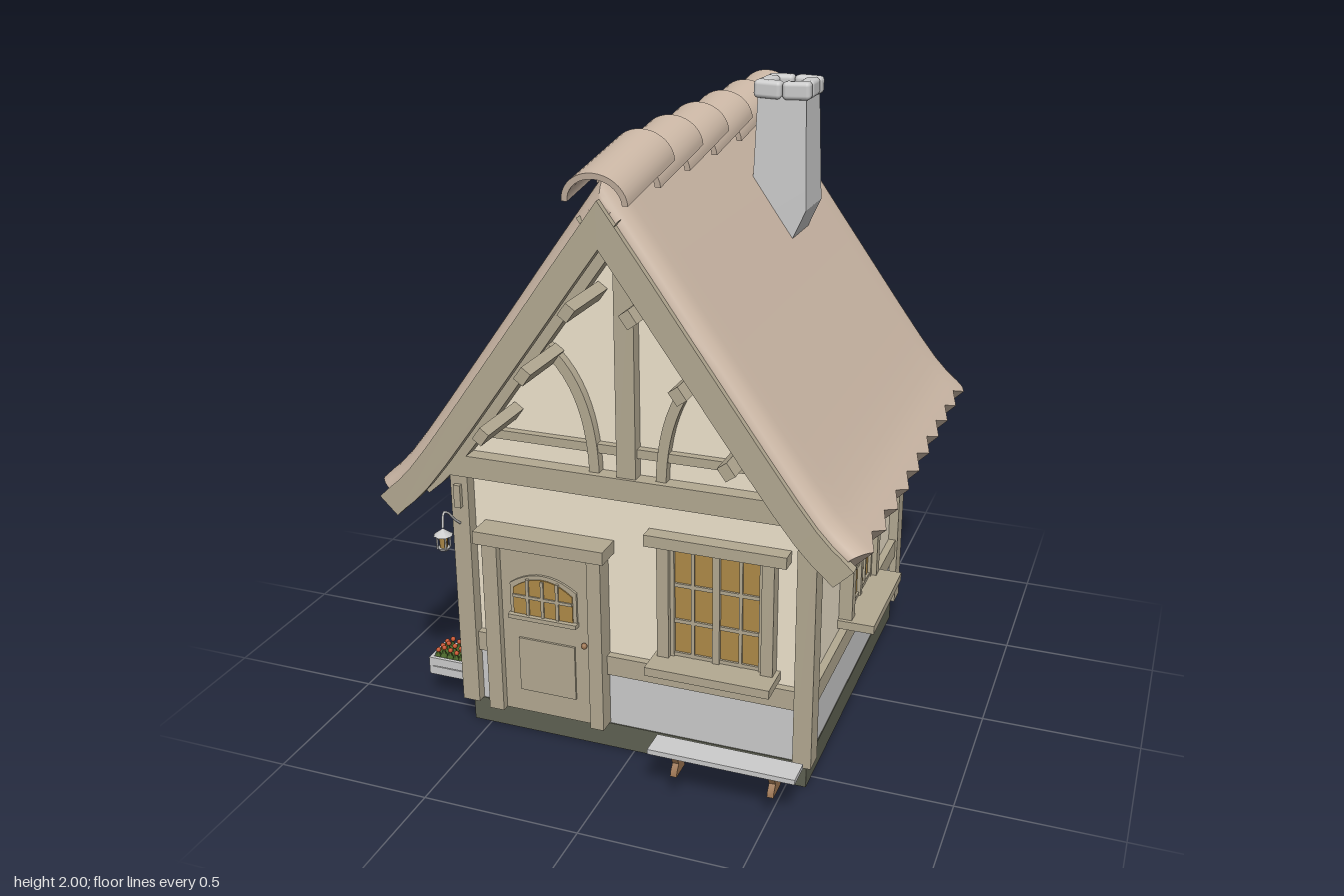
import * as THREE from 'three';
import { toCreasedNormals } from 'three/addons/utils/BufferGeometryUtils.js';
import { RoundedBoxGeometry } from 'three/addons/geometries/RoundedBoxGeometry.js';

const mat = (color, side = THREE.FrontSide) => new THREE.MeshStandardMaterial({ color, side });
const STONE = mat(0xcccccc), TIMBER = mat(0xb3a992), PLASTER = mat(0xefe4cd), ROOF = mat(0xcbb7a5);
const BASE = mat(0x5f6152), GLASS = mat(0xae8a48), WOOD = mat(0x9a7350), LEAF = mat(0x4d6b2c), BLOOM = mat(0xc4512a);
const V2 = (x, y) => new THREE.Vector2(x, y);

function add(parent, name, geo, material, x = 0, y = 0, z = 0) {
  const m = new THREE.Mesh(geo, material);
  m.name = name;
  m.position.set(x, y, z);
  parent.add(m);
  return m;
}
// box given by its limits
function box(parent, name, material, x0, x1, y0, y1, z0, z1) {
  return add(parent, name, new THREE.BoxGeometry(x1 - x0, y1 - y0, z1 - z0), material,
    (x0 + x1) / 2, (y0 + y1) / 2, (z0 + z1) / 2);
}
// outline extruded from z0 to z1
function slab(parent, name, material, pts, z0, z1) {
  const geo = new THREE.ExtrudeGeometry(new THREE.Shape(pts), { depth: z1 - z0, bevelEnabled: false });
  return add(parent, name, toCreasedNormals(geo, 0.6), material, 0, 0, z0);
}

// Flared roof line, apex to eave
const roofCurve = new THREE.SplineCurve([V2(0, 1.88), V2(0.17, 1.645), V2(0.345, 1.4), V2(0.625, 1.015), V2(0.735, 0.903)]);
const N = 14;
// whole roof line, left eave to right eave, sunk by t and lengthened by ext
function roofLine(t, ext = 0) {
  const half = [];
  for (let i = 0; i <= N; i++) {
    const p = roofCurve.getPoint(i / N), d = roofCurve.getTangent(i / N);
    if (i === 0) p.y -= t * 1.7;
    else p.sub(V2(-d.y, d.x).multiplyScalar(t));
    if (i === N) p.addScaledVector(d, ext);
    half.push(p);
  }
  return [...half.slice(1).reverse().map(p => V2(-p.x, p.y)), ...half];
}
const roofBand = (t0, t1, ext) => [...roofLine(t0, ext), ...roofLine(t1, ext).reverse()];

// Roof slab with rounded gable edges and zigzag eaves
function roofGeometry() {
  const END = 0.74, TEETH = 10, R = 0.07, zs = [];
  for (let i = 0; i <= TEETH * 2; i++) zs.push(-END + i * END / TEETH);
  for (const d of [0.003, 0.01, 0.02, 0.035, 0.05]) zs.push(-END + d, END - d);
  zs.sort((a, b) => a - b);
  const pos = [], idx = [], M = 2 * (2 * N + 1);
  for (const z of zs) {
    const u = ((z + END) / (2 * END)) * TEETH, f = u - Math.floor(u + 1e-6);
    const tooth = 0.036 * (1 - Math.abs(2 * f - 1));
    const k = Math.max(0, 1 - (END - Math.abs(z)) / R);
    const drop = 0.045 * (1 - Math.sqrt(Math.max(0, 1 - k * k)));
    for (const p of [...roofLine(drop, tooth), ...roofLine(0.085, tooth).reverse()]) pos.push(p.x, p.y, z);
  }
  for (let k = 0; k < zs.length - 1; k++) for (let j = 0; j < M; j++) {
    const a = k * M + j, b = k * M + (j + 1) % M, c = a + M, d = b + M;
    idx.push(a, c, b, b, c, d);
  }
  const last = (zs.length - 1) * M;
  for (let i = 0; i < M / 2 - 1; i++) {
    const o = i, p = i + 1, q = M - 1 - i, r = M - 2 - i;
    idx.push(last + o, last + q, last + r, last + o, last + r, last + p, o, r, q, o, p, r);
  }
  const g = new THREE.BufferGeometry();
  g.setAttribute('position', new THREE.Float32BufferAttribute(pos, 3));
  g.setIndex(idx);
  return toCreasedNormals(g, 0.7);
}

// Window facing +z, wall plane at z = 0
function makeWindow() {
  const w = new THREE.Group();
  w.name = 'window';
  box(w, 'glass', GLASS, -0.15, 0.15, 0.38, 0.75, 0, 0.015);
  box(w, 'lintel', TIMBER, -0.22, 0.22, 0.745, 0.782, 0, 0.05);
  box(w, 'sill', TIMBER, -0.195, 0.195, 0.352, 0.38, 0, 0.118);
  for (const s of [-1, 1]) {
    const jamb = [s * 0.145, s * 0.182].sort((a, b) => a - b);
    box(w, 'jamb', TIMBER, jamb[0], jamb[1], 0.38, 0.745, 0, 0.043);
    box(w, 'glazingBar', TIMBER, s * 0.075 - 0.005, s * 0.075 + 0.005, 0.38, 0.745, 0, 0.022);
    box(w, 'casementEdge', TIMBER, s * 0.139 - 0.006, s * 0.139 + 0.006, 0.38, 0.745, 0, 0.026);
  }
  box(w, 'mullion', TIMBER, -0.011, 0.011, 0.38, 0.745, 0, 0.028);
  for (const y of [0.387, 0.5, 0.62, 0.738]) box(w, 'glazingBar', TIMBER, -0.145, 0.145, y - 0.006, y + 0.006, 0, 0.022);
  return w;
}

// Timbered gable facing +z
function makeGable() {
  const g = new THREE.Group();
  g.name = 'gable';
  box(g, 'tieBeam', TIMBER, -0.59, 0.59, 0.88, 0.95, 0.53, 0.6);
  box(g, 'collarBeam', TIMBER, -0.48, 0.48, 1.012, 1.04, 0.54, 0.575);
  box(g, 'kingPost', TIMBER, -0.03, 0.03, 0.95, 1.68, 0.54, 0.59);
  const arc = new THREE.QuadraticBezierCurve(V2(0.105, 0.95), V2(0.112, 1.21), V2(0.25, 1.32)).getSpacedPoints(12);
  const c = new THREE.SplineCurve(arc);
  const side = (o) => arc.map((p, i) => { const d = c.getTangent(i / 12); return V2(p.x - d.y * o, p.y + d.x * o); });
  for (const s of [-1, 1]) {
    const pts = [...side(0.016), ...side(-0.016).reverse()].map(p => V2(p.x * s, p.y));
    slab(g, 'archBrace', TIMBER, pts, 0.54, 0.58);
  }
  slab(g, 'wallRafters', TIMBER, roofBand(0.08, 0.125, 0.01), 0.53, 0.6);
  slab(g, 'bargeboards', TIMBER, roofBand(0.04, 0.118, 0.03), 0.725, 0.758);
  return g;
}

function makeDoor() {
  const d = new THREE.Group();
  d.name = 'door';
  box(d, 'lintel', TIMBER, -0.49, -0.06, 0.68, 0.722, 0.54, 0.64);
  box(d, 'jamb', TIMBER, -0.475, -0.425, 0.09, 0.68, 0.54, 0.615);
  box(d, 'jamb', TIMBER, -0.125, -0.08, 0.09, 0.68, 0.54, 0.615);
  box(d, 'leaf', TIMBER, -0.425, -0.125, 0.09, 0.68, 0.54, 0.59);
  box(d, 'panel', TIMBER, -0.37, -0.18, 0.17, 0.355, 0.585, 0.597);
  // arched light
  const arch = (w, top, bottom) => [V2(-0.28 - w, bottom), V2(-0.28 + w, bottom),
    ...new THREE.QuadraticBezierCurve(V2(-0.28 + w, top - 0.04), V2(-0.28, top + 0.04), V2(-0.28 - w, top - 0.04)).getPoints(10)];
  slab(d, 'lightFrame', TIMBER, arch(0.112, 0.585, 0.435), 0.585, 0.598);
  slab(d, 'lightGlass', GLASS, arch(0.1, 0.572, 0.445), 0.59, 0.602);
  for (const x of [-0.33, -0.28, -0.23]) box(d, 'glazingBar', TIMBER, x - 0.005, x + 0.005, 0.445, 0.568, 0.595, 0.607);
  box(d, 'glazingBar', TIMBER, -0.38, -0.18, 0.502, 0.512, 0.595, 0.607);
  box(d, 'lightSill', TIMBER, -0.395, -0.165, 0.43, 0.444, 0.585, 0.615);
  add(d, 'knob', new THREE.SphereGeometry(0.01, 10, 8), WOOD, -0.145, 0.37, 0.6);
  return d;
}

function makeChimney() {
  const g = new THREE.Group();
  g.name = 'chimney';
  const shaft = slab(g, 'shaft', STONE, [V2(0.142, 1.95), V2(0.298, 1.95), V2(0.31, 1.6), V2(0.265, 1.5), V2(0.13, 1.6)], -0.345, -0.165);
  // narrows toward the top
  const p = shaft.geometry.attributes.position;
  for (let i = 0; i < p.count; i++) if (p.getY(i) > 1.9) p.setZ(i, 0.09 + (p.getZ(i) - 0.09) * 0.87);
  shaft.geometry = toCreasedNormals(shaft.geometry, 0.3);
  box(g, 'flue', ROOF, 0.175, 0.265, 1.94, 1.953, -0.3, -0.21);
  const stone = (x, z, w, d, tilt) => {
    const s = add(g, 'capStone', new RoundedBoxGeometry(w, 0.056, d, 3, 0.014), STONE, x, 1.969, z);
    s.rotation.set(0, tilt, tilt * 0.7);
  };
  for (const s of [-1, 1]) {
    for (const e of [-1, 1]) stone(0.22 + e * 0.046, -0.255 + s * 0.067, 0.09, 0.046, 0.04 * s * e);
    stone(0.22 + s * 0.066, -0.255, 0.048, 0.094, 0.03 * s);
  }
  return g;
}

function makeBench() {
  const g = new THREE.Group();
  g.name = 'bench';
  box(g, 'seat', STONE, 0.13, 0.585, 0.156, 0.172, 0.69, 0.775);
  for (const x of [0.21, 0.51]) {
    const leg = slab(g, 'leg', WOOD, [V2(-0.036, 0.09), V2(0.036, 0.09), V2(0.032, 0.105), V2(0.016, 0.125),
      V2(0.032, 0.156), V2(-0.032, 0.156), V2(-0.016, 0.125), V2(-0.032, 0.105)], -0.01, 0.01);
    leg.rotation.y = Math.PI / 2;
    leg.position.set(x - 0.01, 0, 0.732);
  }
  return g;
}

function makePlanter() {
  const g = new THREE.Group();
  g.name = 'planter';
  for (const z of [0.385, 0.487]) for (const y of [0.092, 0.124]) box(g, 'plank', STONE, -0.757, -0.585, y, y + 0.029, z, z + 0.012);
  for (const x of [-0.757, -0.597]) box(g, 'endBoard', STONE, x, x + 0.012, 0.092, 0.153, 0.385, 0.499);
  box(g, 'soil', WOOD, -0.748, -0.594, 0.095, 0.145, 0.395, 0.49);
  for (let i = 0; i < 7; i++) for (let j = 0; j < 3; j++) {
    const x = -0.738 + i * 0.0225, z = 0.412 + j * 0.03, h = 0.012 * ((i * 5 + j * 3) % 3) / 2;
    add(g, 'leaves', new THREE.ConeGeometry(0.015, 0.036, 5), LEAF, x, 0.158 + h / 2, z);
    add(g, 'flower', new THREE.IcosahedronGeometry(0.0085, 1), BLOOM, x + 0.005, 0.173 + h, z + 0.004);
  }
  return g;
}

function makeLantern() {
  const g = new THREE.Group();
  g.name = 'lantern';
  const x = -0.555, z = 0.7;
  box(g, 'bracket', TIMBER, x - 0.011, x + 0.011, 0.775, 0.85, 0.59, 0.605);
  const path = new THREE.CatmullRomCurve3([[0.72, 0.595], [0.745, 0.625], [0.785, 0.665], [0.795, 0.69], [0.75, 0.7]]
    .map(([y, pz]) => new THREE.Vector3(x, y, pz)));
  add(g, 'hook', new THREE.TubeGeometry(path, 20, 0.004, 6), STONE);
  add(g, 'hood', new THREE.ConeGeometry(0.03, 0.022, 8), STONE, x, 0.738, z);
  add(g, 'glass', new THREE.CylinderGeometry(0.014, 0.012, 0.04, 8), GLASS, x, 0.705, z);
  add(g, 'foot', new THREE.CylinderGeometry(0.02, 0.014, 0.01, 8), STONE, x, 0.682, z);
  for (let i = 0; i < 4; i++) {
    const a = (i + 0.5) * Math.PI / 2;
    add(g, 'cageBar', new THREE.CylinderGeometry(0.003, 0.003, 0.044, 5), STONE, x + 0.02 * Math.cos(a), 0.706, z + 0.02 * Math.sin(a));
  }
  return g;
}

export function createModel() {
  const house = new THREE.Group();
  house.name = 'cottage';
  box(house, 'foundation', BASE, -0.56, 0.56, 0, 0.085, -0.56, 0.56);

  // Walls
  slab(house, 'walls', PLASTER, [V2(-0.55, 0.085), V2(0.55, 0.085), V2(0.55, 0.98), V2(0, 1.74), V2(-0.55, 0.98)], -0.55, 0.55);
  box(house, 'stonePlinth', STONE, -0.558, 0.558, 0.086, 0.27, -0.558, 0.558);
  box(house, 'sillBeam', TIMBER, -0.575, 0.575, 0.27, 0.335, -0.575, 0.575);
  for (const sx of [-1, 1]) for (const sz of [-1, 1])
    add(house, 'cornerPost', new THREE.BoxGeometry(0.058, 0.86, 0.07), TIMBER, sx * 0.553, 0.518, sz * 0.556);

  // Windows: x, z and turn
  for (const [x, z, turn] of [[0.275, 0.55, 0], [0, -0.55, Math.PI], [0.55, 0, Math.PI / 2], [-0.55, 0, -Math.PI / 2]]) {
    const w = makeWindow();
    w.position.set(x, 0, z);
    w.rotation.y = turn;
    house.add(w);
  }
  house.add(makeDoor());

  // Gables and roof
  const back = makeGable();
  back.rotation.y = Math.PI;
  house.add(makeGable(), back);
  add(house, 'roof', roofGeometry(), ROOF);
  for (const s of [-1, 1]) for (const [x, y] of [[0.09, 1.5], [0.23, 1.3], [0.37, 1.1]])
    add(house, 'purlin', new THREE.BoxGeometry(0.045, 0.034, 1.55), TIMBER, s * x, y, 0).rotation.z = -s * 0.95;

  // Overlapping ridge tiles
  const arc = (rx, ry) => new THREE.EllipseCurve(0, 0, rx, ry, 0, Math.PI).getPoints(18);
  const tile = [...arc(0.095, 0.085), ...arc(0.078, 0.068).reverse()];
  for (let i = 0; i < 6; i++) {
    const t = slab(house, 'ridgeTile', ROOF, tile, 0, 0.35);
    t.position.set(0, 1.861, 0.425 - i * 0.2335);
    t.rotation.x = 0.157;
  }
  house.add(makeChimney(), makeBench(), makePlanter(), makeLantern());
  return house;
}
